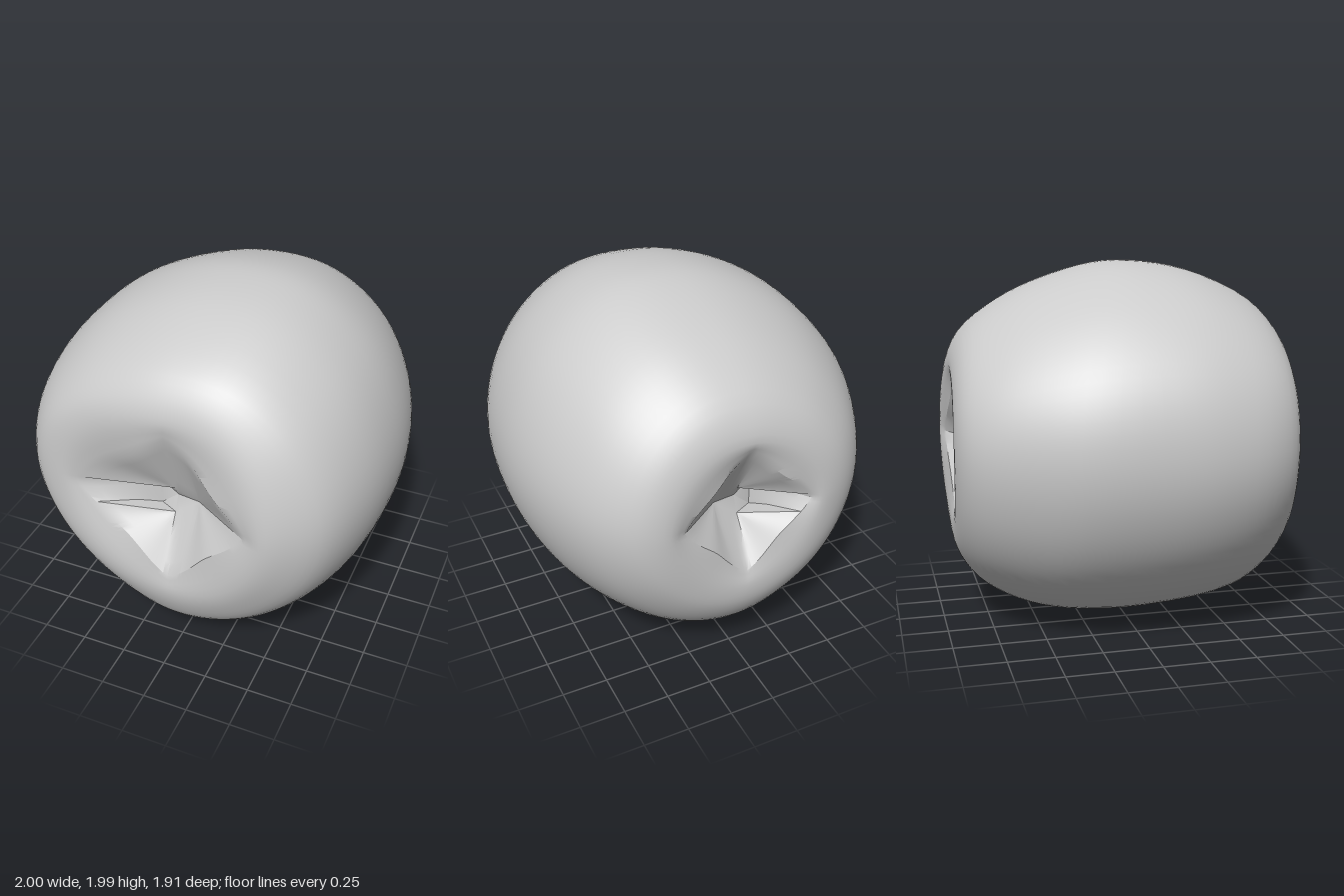
import * as THREE from 'three';
import { toCreasedNormals } from 'three/addons/utils/BufferGeometryUtils.js';

// Meridian profiles [radius, z] from the front rim to the back rim, at 0, 90, 180 and 270 degrees
const MERIDIANS = [
  [[.43, .925], [.53, .95], [.67, .89], [.83, .75], [.95, .45], [.995, .1], [.98, -.19], [.91, -.48], [.78, -.75], [.62, -.91], [.46, -.957], [.37, -.93]],
  [[.45, .875], [.55, .89], [.67, .85], [.79, .74], [.94, .4], [.985, .1], [.975, -.1], [.89, -.4], [.785, -.63], [.61, -.86], [.43, -.935], [.36, -.91]],
  [[.54, .825], [.63, .84], [.8, .786], [.92, .615], [.984, .37], [1, .1], [.957, -.32], [.85, -.59], [.69, -.83], [.56, -.925], [.41, -.957], [.36, -.93]],
  [[.43, .9], [.53, .91], [.65, .88], [.79, .8], [.91, .63], [.99, .1], [.97, -.34], [.895, -.6], [.76, -.81], [.59, -.92], [.45, -.94], [.37, -.92]],
];

// Outer radius every 22.5 degrees, which makes the body slightly lopsided
const OUTLINE = [.997, 1, 1.015, 1.02, .985, .966, .979, 1.005, 1, .981, .97, .97, .994, .987, .978, .985];

const lerp = THREE.MathUtils.lerp;

function outlineRadius(deg) {
  const s = (deg % 360) / 22.5, i = Math.floor(s), f = s - i;
  const p = (k) => OUTLINE[(i + k + 16) % 16];
  return p(0) + 0.5 * f * (p(1) - p(-1) + f * (2 * p(-1) - 5 * p(0) + 4 * p(1) - p(2) + f * (3 * (p(0) - p(1)) + p(2) - p(-1))));
}

// Smooth profile at any angle, blended from the two nearest meridians
function profileAt(deg) {
  const q = Math.floor(deg / 90) % 4;
  const t = deg * Math.PI / 180;
  const w = Math.sin((deg % 90) * Math.PI / 180) ** 2;
  const a = MERIDIANS[q], b = MERIDIANS[(q + 1) % 4];
  const mixed = a.map((p, i) => [lerp(p[0], b[i][0], w), lerp(p[1], b[i][1], w)]);
  const scale = outlineRadius(deg) / mixed[5][0];
  // The rims of both dimples are diamonds with their tips on the axes
  const diamond = 1 - 0.27 * Math.abs(Math.sin(2 * t));
  mixed[0][0] *= diamond;
  mixed[mixed.length - 1][0] *= diamond;
  const points = mixed.map(([r, z]) =>
    new THREE.Vector3(r * scale * Math.cos(t), 1 + r * scale * Math.sin(t), z));
  return new THREE.CatmullRomCurve3(points, false, 'centripetal').getPoints(44);
}

// Sectors of the dimples: [start angle, end angle, inner start, inner end, groove depth]
const SECTORS = [
  [0, 76, [.11, .98], [.11, .98], 0],
  [76, 94, [.11, .98], [-.03, 1.03], 0],
  [94, 177, [-.03, 1.03], [-.03, 1.03], 0],
  [177, 194, [-.13, 1.03], [-.13, .87], .05],
  [194, 266, [-.03, .87], [-.03, .87], 0],
  [266, 284, [-.03, .87], [.11, .98], 0],
  [284, 360, [.11, .98], [.11, .98], 0],
];
const DIMPLE_ROWS = 5;

// Folded dimple wall from its pole out to the rim of the body
function dimple(rim, x, y, z, groove) {
  const sign = Math.sign(z);
  const rows = [new THREE.Vector3(-.03, .96, z - sign * .04)];
  for (let k = 0; k < DIMPLE_ROWS; k++) {
    const t = k / DIMPLE_ROWS;
    const sink = sign * groove * Math.min(1, (1 - t) * 1.6);
    rows.push(new THREE.Vector3(lerp(x, rim.x, t), lerp(y, rim.y, t), lerp(z, rim.z, t) - sink));
  }
  return rows;
}

function bodyGeometry() {
  const columns = [];
  for (const [from, to, p, q, groove] of SECTORS) {
    const n = Math.ceil((to - from) / 4);
    for (let i = 0; i <= n; i++) {
      const f = i / n;
      const shell = profileAt(lerp(from, to, f));
      const x = lerp(p[0], q[0], f), y = lerp(p[1], q[1], f);
      const front = dimple(shell[0], x, y, .72, groove);
      const back = dimple(shell[shell.length - 1], x, y, -.73, groove).reverse();
      columns.push([...front, ...shell, ...back]);
    }
  }

  // Skin neighbouring columns, leaving out collapsed triangles
  const positions = [];
  const triangle = new THREE.Triangle();
  const add = (a, b, c) => {
    if (triangle.set(a, b, c).getArea() > 1e-8) {
      for (const v of [a, b, c]) positions.push(v.x, v.y, v.z);
    }
  };
  for (let i = 0; i + 1 < columns.length; i++) {
    const a = columns[i], b = columns[i + 1];
    for (let j = 0; j + 1 < a.length; j++) {
      add(a[j], a[j + 1], b[j]);
      add(b[j], a[j + 1], b[j + 1]);
    }
  }
  const geometry = new THREE.BufferGeometry();
  geometry.setAttribute('position', new THREE.Float32BufferAttribute(positions, 3));
  return toCreasedNormals(geometry, 0.5);
}

export function createModel() {
  const group = new THREE.Group();
  group.name = 'dimpledFruit';
  const material = new THREE.MeshStandardMaterial({ color: 0xcccccc, side: THREE.DoubleSide });
  const body = new THREE.Mesh(bodyGeometry(), material);
  body.name = 'body';
  group.add(body);
  return group;
}
